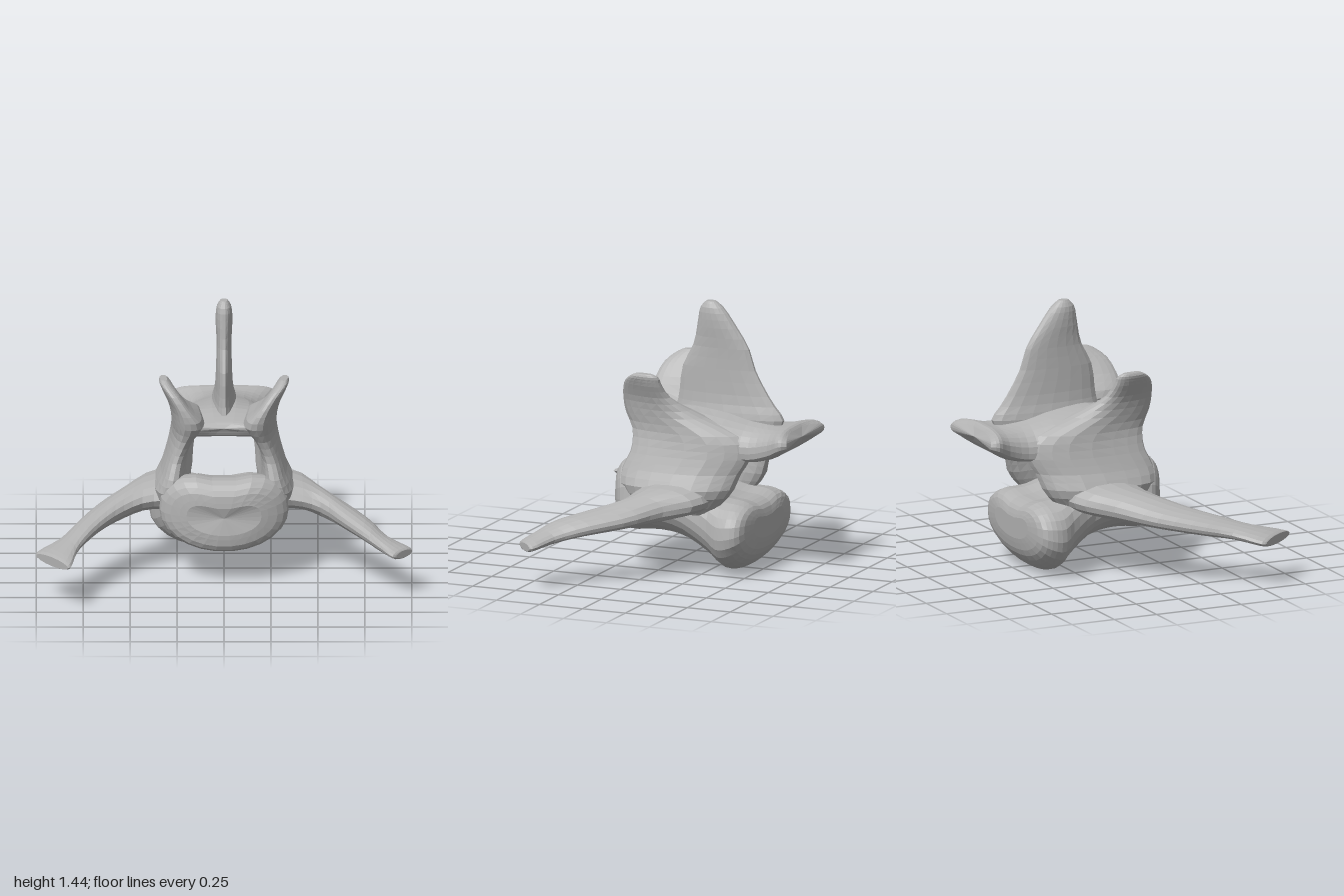
import * as THREE from 'three';

const bone = new THREE.MeshStandardMaterial({ color: 0xb2b2b2, flatShading: true });
bone.name = 'bone grey';

// Smooth interpolation through a list of parameter rows
function sampleRow(rows, t) {
  const f = t * (rows.length - 1);
  const i = Math.min(Math.floor(f), rows.length - 2);
  const u = f - i;
  const at = (k) => rows[Math.max(0, Math.min(rows.length - 1, k))];
  const [a, b, c, d] = [at(i - 1), at(i), at(i + 1), at(i + 2)];
  return b.map((_, k) => b[k] + 0.5 * u * (c[k] - a[k]
    + u * (2 * a[k] - 5 * b[k] + 4 * c[k] - d[k] + u * (3 * (b[k] - c[k]) + d[k] - a[k]))));
}

// Closed loft: point(row, cos, sin) gives the cross-section of each row
function loft(name, rows, point, sides, steps) {
  const pos = [], index = [];
  const ends = [];
  for (let j = 0; j <= steps; j++) {
    const row = sampleRow(rows, j / steps);
    const mid = [0, 0, 0];
    for (let i = 0; i < sides; i++) {
      const a = (i / sides) * Math.PI * 2;
      const p = point(row, Math.cos(a), Math.sin(a));
      pos.push(...p);
      p.forEach((v, k) => { mid[k] += v / sides; });
    }
    if (j === 0 || j === steps) ends.push(mid);
  }
  for (let j = 0; j < steps; j++) {
    for (let i = 0; i < sides; i++) {
      const a = j * sides + i, b = j * sides + (i + 1) % sides;
      index.push(a, b, a + sides, b, b + sides, a + sides);
    }
  }
  // End caps
  const first = (steps + 1) * sides;
  pos.push(...ends[0], ...ends[1]);
  for (let i = 0; i < sides; i++) {
    const n = (i + 1) % sides, top = steps * sides;
    index.push(first, n, i, first + 1, top + i, top + n);
  }
  // Turn the faces outward if the enclosed volume is negative
  const v = (i) => new THREE.Vector3().fromArray(pos, i * 3);
  let volume = 0;
  for (let i = 0; i < index.length; i += 3) {
    volume += v(index[i]).dot(v(index[i + 1]).cross(v(index[i + 2])));
  }
  if (volume < 0) index.reverse();
  const geo = new THREE.BufferGeometry();
  geo.setAttribute('position', new THREE.Float32BufferAttribute(pos, 3));
  geo.setIndex(index);
  geo.computeVertexNormals();
  const mesh = new THREE.Mesh(geo, bone);
  mesh.name = name;
  return mesh;
}

const soft = (v, e = 0.8) => Math.sign(v) * Math.abs(v) ** e;

export function createModel() {
  const group = new THREE.Group();
  group.name = 'vertebra';

  // Body: z, bottom, top, half width, centre x, bow of the front face
  group.add(loft('vertebralBody', [
    [0.30, 0.28, 0.48, 0.2, 0, 0.7],
    [0.285, 0.20, 0.56, 0.31, 0, 0.7],
    [0.21, 0.17, 0.61, 0.345, 0, 0.5],
    [0.05, 0.18, 0.58, 0.31, 0, 0.2],
    [-0.12, 0.15, 0.52, 0.28, 0, 0],
    [-0.27, 0.06, 0.46, 0.31, -0.02, 0],
    [-0.36, 0.00, 0.43, 0.36, -0.03, 0],
    [-0.44, 0.03, 0.42, 0.37, -0.03, 0],
    [-0.50, 0.10, 0.39, 0.33, -0.03, 0],
    [-0.52, 0.18, 0.34, 0.2, -0.03, 0],
  ], ([z, bottom, top, w, cx, bow], c, s) => {
    const e = s > 0 ? 0.8 : 0.95;
    const x = w * soft(c, e);
    const dent = s > 0 ? 0.05 * Math.exp(-((x / 0.15) ** 2)) * s : 0;
    return [cx + x, (top + bottom) / 2 + (top - bottom) / 2 * soft(s, e) - dent, z - bow * x * x];
  }, 26, 24));

  // Pedicle rising into the upper joint: y, inner x, outer x, front z, back z, skew
  const wall = [
    [0.33, 0.20, 0.31, 0.08, -0.30, 0],
    [0.45, 0.19, 0.38, 0.19, -0.41, 0],
    [0.55, 0.20, 0.34, 0.20, -0.45, 0],
    [0.65, 0.19, 0.305, 0.16, -0.50, 0],
    [0.75, 0.16, 0.285, 0.17, -0.46, 0.05],
    [0.85, 0.11, 0.28, 0.22, -0.22, 0.1],
    [0.94, 0.19, 0.29, 0.22, -0.08, 0.2],
    [1.02, 0.25, 0.325, 0.19, -0.04, 0.2],
    [1.065, 0.285, 0.345, 0.14, -0.03, 0.1],
    [1.085, 0.305, 0.34, 0.10, 0.00, 0.1],
  ];
  for (const [side, label] of [[1, 'left'], [-1, 'right']]) {
    group.add(loft(label + 'PedicleAndUpperJoint', wall, ([y, xi, xo, zf, zb, skew], c, s) => {
      const dz = (zf - zb) / 2 * soft(s);
      const inward = skew * dz + 0.8 * Math.min(dz, 0) ** 2;
      return [side * ((xi + xo) / 2 + (xo - xi) / 2 * soft(c) - inward), y, (zf + zb) / 2 + dz];
    }, 20, 22));
  }

  // Arch roof and lower joints: z, centre y, half height, half width, side droop, lobe depth
  group.add(loft('archRoof', [
    [0.07, 0.81, 0.02, 0.14, 0, -0.02],
    [0.04, 0.80, 0.045, 0.20, 0.01, -0.02],
    [-0.10, 0.80, 0.075, 0.25, 0.03, 0],
    [-0.30, 0.77, 0.09, 0.26, 0.07, 0],
    [-0.48, 0.73, 0.09, 0.21, 0.06, 0],
    [-0.60, 0.72, 0.08, 0.225, 0.02, 0.01],
    [-0.67, 0.74, 0.065, 0.27, 0, 0.03],
    [-0.695, 0.745, 0.04, 0.25, 0, 0.05],
  ], ([z, y, h, w, droop, lobe], c, s) => {
    const x = soft(c, 0.65);
    return [w * x, y + h * soft(s, 0.7) - droop * x * x, z - lobe * x * x];
  }, 26, 22));

  // Upright spine blade: y, front z, back z, half thickness
  group.add(loft('spineBlade', [
    [0.78, 0.00, -0.60, 0.07],
    [0.83, 0.01, -0.62, 0.07],
    [0.92, -0.01, -0.55, 0.05],
    [1.07, -0.03, -0.46, 0.042],
    [1.20, -0.095, -0.415, 0.04],
    [1.32, -0.12, -0.335, 0.045],
    [1.40, -0.135, -0.275, 0.04],
    [1.44, -0.17, -0.225, 0.02],
  ], ([y, zf, zb, t], c, s) => [t * c, y, (zf + zb) / 2 + (zf - zb) / 2 * s], 18, 16));

  // Side wings: front x, front z, back x, back z, centre y, half height
  const wings = {
    leftWing: [
      [0.25, 0.10, 0.22, -0.33, 0.42, 0.10],
      [0.40, 0.10, 0.39, -0.29, 0.41, 0.085],
      [0.52, 0.13, 0.50, -0.13, 0.38, 0.075],
      [0.64, 0.28, 0.64, 0.00, 0.345, 0.06],
      [0.75, 0.41, 0.78, 0.18, 0.31, 0.05],
      [0.83, 0.47, 0.87, 0.32, 0.27, 0.04],
      [0.89, 0.52, 0.99, 0.39, 0.24, 0.03],
      [0.92, 0.51, 1.00, 0.42, 0.235, 0.02],
    ],
    rightWing: [
      [-0.25, 0.12, -0.22, -0.33, 0.42, 0.10],
      [-0.41, 0.12, -0.39, -0.29, 0.41, 0.085],
      [-0.54, 0.19, -0.52, -0.14, 0.38, 0.075],
      [-0.65, 0.31, -0.66, 0.01, 0.345, 0.06],
      [-0.73, 0.44, -0.78, 0.20, 0.31, 0.05],
      [-0.78, 0.55, -0.87, 0.37, 0.28, 0.04],
      [-0.81, 0.71, -0.99, 0.48, 0.25, 0.035],
      [-0.83, 0.74, -1.00, 0.52, 0.245, 0.025],
    ],
  };
  for (const [name, rows] of Object.entries(wings)) {
    group.add(loft(name, rows, ([fx, fz, bx, bz, y, h], c, s) => [
      (fx + bx) / 2 + (fx - bx) / 2 * c,
      y + h * s,
      (fz + bz) / 2 + (fz - bz) / 2 * c,
    ], 16, 18));
  }
  return group;
}
